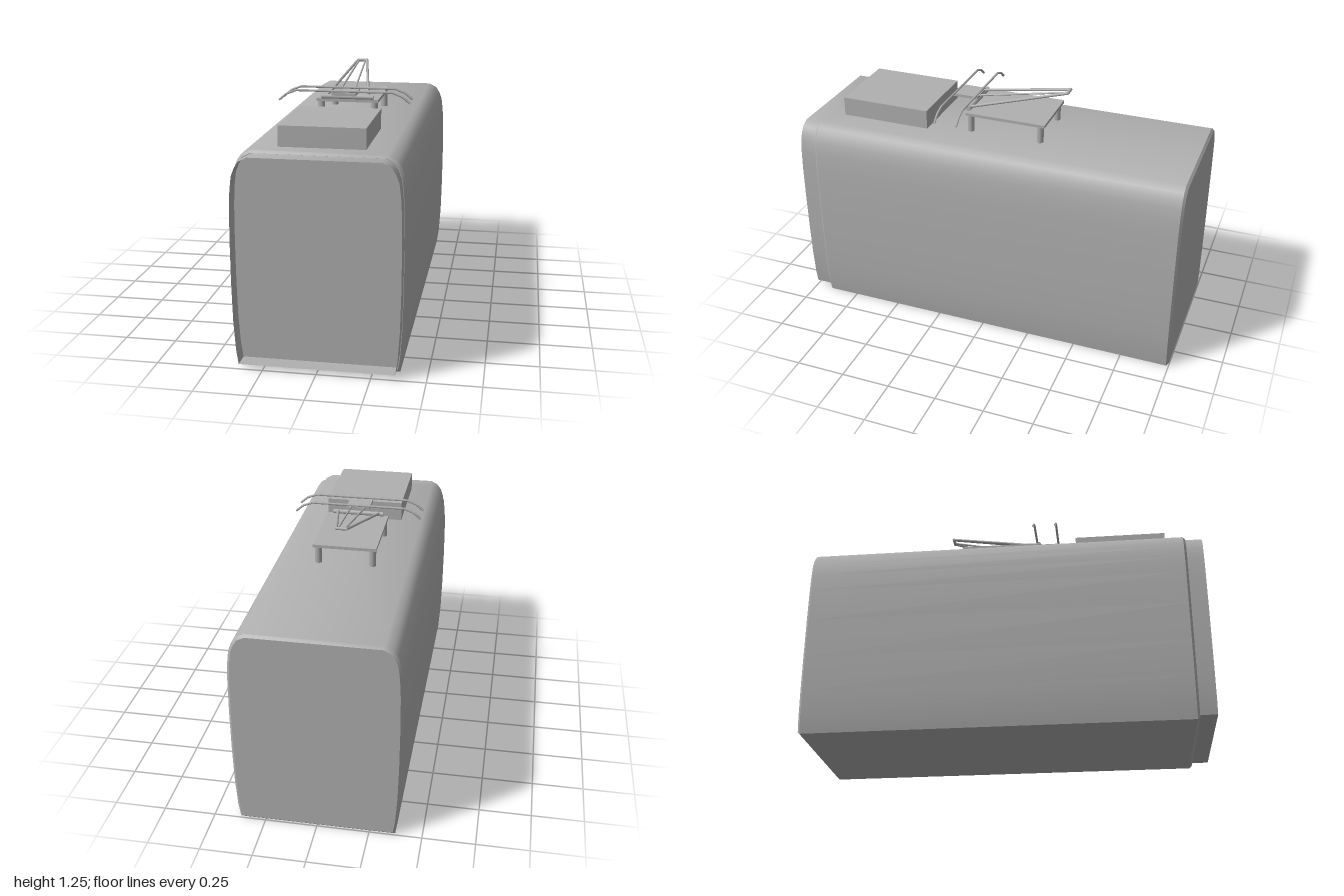
import * as THREE from 'three';
import { toCreasedNormals } from 'three/addons/utils/BufferGeometryUtils.js';

const grey = new THREE.MeshStandardMaterial({ color: 0xb0b0b0 });
grey.name = 'grey';
const greyShell = new THREE.MeshStandardMaterial({ color: 0xb0b0b0, side: THREE.DoubleSide });
greyShell.name = 'grey shell';

// Half of the car cross-section, bottom to roof
const HALF = [
  [0.373, 0.006], [0.384, 0.08], [0.393, 0.22], [0.397, 0.4], [0.398, 0.6],
  [0.396, 0.77], [0.391, 0.86], [0.383, 0.925], [0.368, 0.965], [0.348, 0.995], [0.308, 1.016],
];
const section = (map) => {
  const right = HALF.map(([x, y]) => map(x, y));
  return [...right, ...right.map((p) => new THREE.Vector2(-p.x, p.y)).reverse()];
};

function add(parent, name, geometry, x = 0, y = 0, z = 0, material = grey) {
  const mesh = new THREE.Mesh(geometry, material);
  mesh.name = name;
  mesh.position.set(x, y, z);
  parent.add(mesh);
  return mesh;
}

// Box given by its limits
function block(parent, name, x0, x1, y0, y1, z0, z1) {
  return add(parent, name, new THREE.BoxGeometry(x1 - x0, y1 - y0, z1 - z0),
    (x0 + x1) / 2, (y0 + y1) / 2, (z0 + z1) / 2);
}

// Straight round bar between two points
function rod(parent, name, from, to, radius) {
  const a = new THREE.Vector3(...from), b = new THREE.Vector3(...to);
  const dir = b.clone().sub(a);
  const mid = a.clone().add(b).multiplyScalar(0.5);
  const mesh = add(parent, name, new THREE.CylinderGeometry(radius, radius, dir.length(), 8), mid.x, mid.y, mid.z);
  mesh.quaternion.setFromUnitVectors(new THREE.Vector3(0, 1, 0), dir.normalize());
  return mesh;
}

// Open sleeve swept along z from a closed outline
function sleeve(points, z0, z1) {
  const pos = [], index = [], n = points.length;
  points.forEach((p, i) => {
    const j = (i + 1) % n;
    pos.push(p.x, p.y, z0, p.x, p.y, z1);
    index.push(2 * i, 2 * j, 2 * j + 1, 2 * i, 2 * j + 1, 2 * i + 1);
  });
  const g = new THREE.BufferGeometry();
  g.setAttribute('position', new THREE.Float32BufferAttribute(pos, 3));
  g.setIndex(index);
  return toCreasedNormals(g, 0.75);
}

export function createModel() {
  const model = new THREE.Group();
  model.name = 'railCar';

  // Car body with slightly bevelled ends
  const bevel = 0.012;
  const body = new THREE.ExtrudeGeometry(new THREE.Shape(section((x, y) => new THREE.Vector2(x, y))), {
    depth: 1.917 - 2 * bevel, bevelEnabled: true, bevelSegments: 1,
    bevelSize: bevel, bevelThickness: bevel, bevelOffset: -bevel,
  });
  add(model, 'body', toCreasedNormals(body, 0.75), 0, 0, -1 + bevel);

  // Open gangway sleeve on the front end
  const gangway = section((x, y) => new THREE.Vector2(x * 0.965, 0.03 + (y - 0.006) * 0.964));
  add(model, 'gangway', sleeve(gangway, 0.905, 1), 0, 0, 0, greyShell);

  // Roof equipment
  block(model, 'roofUnit', -0.2, 0.2, 1.005, 1.113, 0.36, 0.825);

  // Current collector frame
  const collector = new THREE.Group();
  collector.name = 'currentCollector';
  model.add(collector);
  block(collector, 'basePlate', -0.157, 0.157, 1.103, 1.118, -0.25, 0.165);
  for (const x of [-0.135, 0.135]) {
    for (const z of [-0.222, 0.145]) {
      rod(collector, 'baseLeg', [x, 1.0, z], [x, 1.105, z], 0.018);
    }
  }
  rod(collector, 'pivotBar', [-0.132, 1.128, 0.16], [0.132, 1.128, 0.16], 0.012);
  for (const s of [-1, 1]) {
    rod(collector, 'outerArm', [s * 0.108, 1.13, 0.165], [s * 0.025, 1.246, -0.322], 0.007);
    rod(collector, 'innerArm', [s * 0.036, 1.162, 0.16], [s * 0.017, 1.246, -0.318], 0.005);
  }
  rod(collector, 'topBar', [-0.028, 1.246, -0.322], [0.028, 1.246, -0.322], 0.008);

  // Contact head: two bowed strips joined by a plate
  block(collector, 'headPlate', -0.06, 0.06, 1.152, 1.166, 0.14, 0.27);
  const half = [[0.328, 1.122], [0.29, 1.154], [0.24, 1.173]];
  const bow = [...half.map(([x, y]) => [-x, y]), ...half.slice().reverse()];
  for (const z of [0.146, 0.26]) {
    const path = new THREE.CurvePath();
    for (let i = 0; i < bow.length - 1; i++) {
      path.add(new THREE.LineCurve3(new THREE.Vector3(...bow[i], z), new THREE.Vector3(...bow[i + 1], z)));
    }
    add(collector, 'contactStrip', new THREE.TubeGeometry(path, 40, 0.006, 6), 0, 0, 0, greyShell);
  }
  return model;
}
